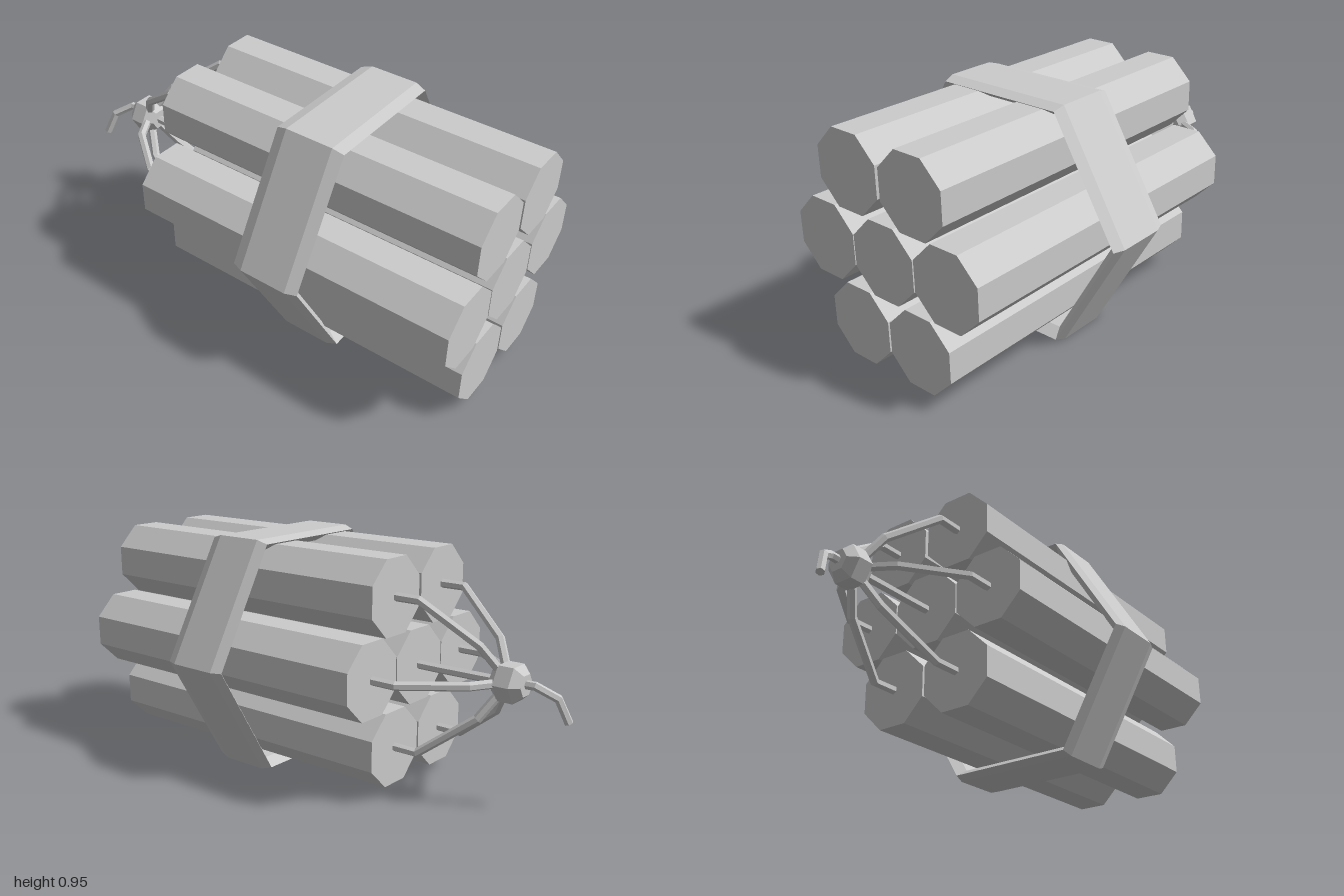
import * as THREE from 'three';

const material = new THREE.MeshStandardMaterial({ color: 0xcccccc, flatShading: true });

function addMesh(parent, name, geometry, x = 0, y = 0, z = 0) {
  const mesh = new THREE.Mesh(geometry, material);
  mesh.name = name;
  mesh.position.set(x, y, z);
  parent.add(mesh);
  return mesh;
}

// Polyline path giving one tube ring per point, mitred at each bend
class BentPath extends THREE.Curve {
  constructor(points) {
    super();
    this.points = points.map((p) => new THREE.Vector3(...p));
  }
  getPointAt(u) {
    return this.points[Math.round(u * (this.points.length - 1))].clone();
  }
  getTangentAt(u) {
    const pts = this.points;
    const i = Math.round(u * (pts.length - 1));
    const dir = new THREE.Vector3();
    if (i > 0) dir.add(pts[i].clone().sub(pts[i - 1]).normalize());
    if (i < pts.length - 1) dir.add(pts[i + 1].clone().sub(pts[i]).normalize());
    return dir.normalize();
  }
}

const WIRE_SIDES = 6;
const wireGeometry = (points, radius) =>
  new THREE.TubeGeometry(new BentPath(points), points.length - 1, radius, WIRE_SIDES);

// Ring or solid of revolution about z, from [radius, z] points
function latheZ(profile, sides, phiStart = 0) {
  const points = profile.map(([r, z]) => new THREE.Vector2(r, z));
  return new THREE.LatheGeometry(points, sides, phiStart).rotateX(Math.PI / 2);
}

export function createModel() {
  const model = new THREE.Group();
  model.name = 'stickBundle';

  // Stick centres: rows of two, three and two
  const centres = [
    [-0.163, 0.786], [0.145, 0.784],
    [-0.312, 0.49], [-0.013, 0.49], [0.287, 0.495],
    [-0.163, 0.194], [0.14, 0.196],
  ];
  const backZ = -0.385;
  const knot = [-0.012, 0.495, -0.785];

  // Octagonal sticks with a flat side up
  const length = 1 - backZ;
  const stick = new THREE.CylinderGeometry(0.159, 0.159, length, 8)
    .rotateY(Math.PI / 8)
    .rotateX(Math.PI / 2);
  const sticks = new THREE.Group();
  sticks.name = 'sticks';
  model.add(sticks);
  for (const [x, y] of centres) addMesh(sticks, 'stick', stick, x, y, (1 + backZ) / 2);

  // Hexagonal strap with bevelled rims
  const strap = latheZ([
    [0.498, -0.1], [0.532, -0.145], [0.549, -0.1],
    [0.549, 0.1], [0.532, 0.145], [0.498, 0.1], [0.498, -0.1],
  ], 6, Math.PI / 6);
  addMesh(model, 'strap', strap, 0, 0.477, 0.29);

  // Wires: straight out of each stick, then bending in to the knot
  const wires = new THREE.Group();
  wires.name = 'wires';
  model.add(wires);
  for (const [x, y] of centres) {
    const toward = (t, z) => [
      THREE.MathUtils.lerp(x, knot[0], t), THREE.MathUtils.lerp(y, knot[1], t), z,
    ];
    const path = [[x, y, backZ + 0.02], [x, y, -0.485], toward(0.53, -0.695), toward(0.97, -0.775)];
    addMesh(wires, 'wire', wireGeometry(path, 0.018));
  }

  // Faceted knot
  const knotShape = latheZ([
    [0, -0.065], [0.045, -0.065], [0.078, -0.032],
    [0.078, 0.032], [0.045, 0.065], [0, 0.065],
  ], 6, Math.PI / 6);
  addMesh(model, 'knot', knotShape, ...knot);

  // Fuse tail, its last ring drawn in to close the tip
  const tip = [-0.086, 0.362, -0.988];
  const fuse = wireGeometry([
    [-0.012, 0.497, -0.8], [-0.012, 0.5, -0.885], [-0.058, 0.455, -0.955],
    tip, [-0.0862, 0.361, -0.9884],
  ], 0.017);
  const position = fuse.attributes.position;
  for (let i = position.count - WIRE_SIDES - 1; i < position.count; i++) position.setXYZ(i, ...tip);
  addMesh(model, 'fuse', fuse);

  return model;
}
